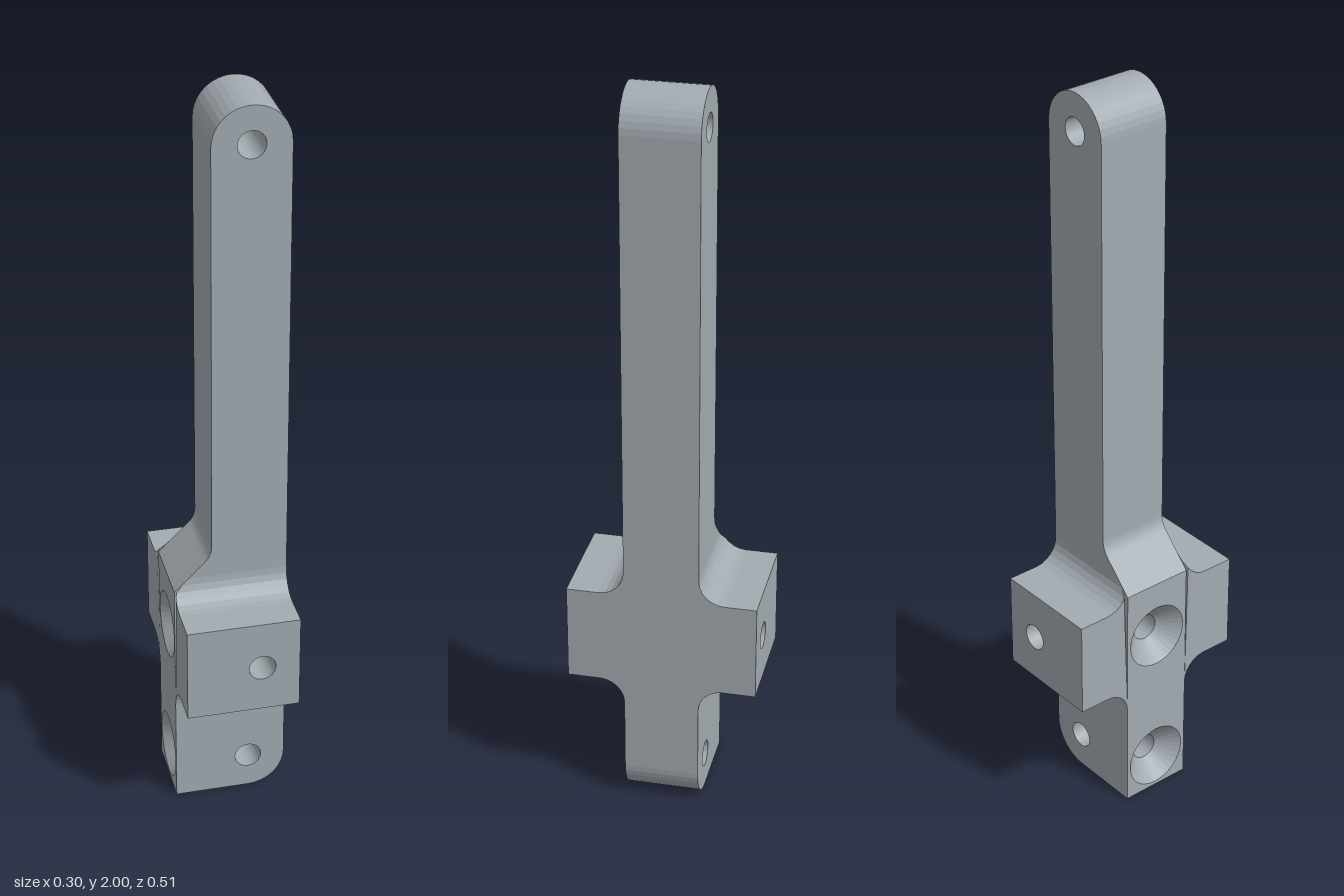
import * as THREE from 'three';
import { mergeGeometries } from 'three/addons/utils/BufferGeometryUtils.js';

const HALF_X = 0.15, WEB_Z = 0.1, LOBE_Z = 0.253, HOLE_R = 0.036;
const v = (x, y) => new THREE.Vector2(x, y);

// Points along an arc, angles in degrees
function arc(cx, cy, r, from, to, n) {
  return Array.from({ length: n + 1 }, (_, i) => {
    const a = THREE.MathUtils.degToRad(from + (to - from) * i / n);
    return v(cx + r * Math.cos(a), cy + r * Math.sin(a));
  });
}

// Wall swept along local z from an open path
function wall(path, half) {
  const pos = [];
  for (let i = 0; i < path.length - 1; i++) {
    const p = path[i], q = path[i + 1];
    const a = [p.x, p.y, -half], b = [q.x, q.y, -half], c = [q.x, q.y, half], d = [p.x, p.y, half];
    pos.push(...a, ...b, ...c, ...a, ...c, ...d);
  }
  const g = new THREE.BufferGeometry();
  g.setAttribute('position', new THREE.Float32BufferAttribute(pos, 3));
  return g;
}

// Flat plate at local z, facing away from the middle, with round holes
function plate(points, z, holes = []) {
  const shape = new THREE.Shape(points);
  for (const [x, y, r] of holes) {
    shape.holes.push(new THREE.Path(arc(x, y, r, 360, 0, 32).slice(0, -1)));
  }
  const g = new THREE.ShapeGeometry(shape).toNonIndexed();
  g.deleteAttribute('uv');
  g.deleteAttribute('normal');
  const p = g.attributes.position;
  if (z < 0) {
    for (let i = 0; i < p.count; i += 3) {
      const x = p.getX(i), y = p.getY(i);
      p.setXY(i, p.getX(i + 1), p.getY(i + 1));
      p.setXY(i + 1, x, y);
    }
  }
  return g.translate(0, 0, z);
}

export function createModel() {
  const group = new THREE.Group();
  const steel = new THREE.MeshStandardMaterial({ color: 0xa3abb1, side: THREE.DoubleSide });
  steel.name = 'blue grey metal';
  const add = (name, geometry) => {
    const g = geometry.index ? geometry.toNonIndexed() : geometry;
    g.computeVertexNormals();
    const mesh = new THREE.Mesh(g, steel);
    mesh.name = name;
    group.add(mesh);
  };

  // Long arm with rounded ends and a sloped shoulder; mounting edge left open
  const bend = new THREE.QuadraticBezierCurve(v(-0.05, 0.79), v(-0.05, 0.765), v(-0.068, 0.747));
  const outline = [
    v(-HALF_X, 0),
    ...arc(0.05, 0.1, 0.1, -90, 0, 9),
    ...arc(0.05, 1.9, 0.1, 0, 180, 18),
    ...bend.getPoints(5),
    v(-HALF_X, 0.665),
  ];
  const pinHoles = [0.1, 0.5, 1.9].map(y => [0.05, y, HOLE_R]);
  add('arm', mergeGeometries([
    wall(outline, WEB_Z),
    plate(outline, WEB_Z, pinHoles),
    plate(outline, -WEB_Z, pinHoles),
  ]));

  // Mounting face with openings for the countersunk screws
  const face = [v(-WEB_Z, 0), v(WEB_Z, 0), v(WEB_Z, 0.665), v(-WEB_Z, 0.665)];
  add('mountingFace', plate(face, HALF_X, [[0, 0.1, 0.09], [0, 0.5, 0.09]]).rotateY(-Math.PI / 2));

  // Side lobes with filleted roots, trimmed to the shoulder slope
  const lower = [...arc(0.167, 0.303, 0.067, 180, 90, 6), v(LOBE_Z, 0.37)];
  const upper = [v(LOBE_Z, 0.635), ...arc(0.167, 0.702, 0.067, -90, -180, 6)];
  const profile = [...lower, ...upper];
  const front = [v(-HALF_X, 0.37), v(HALF_X, 0.37), v(HALF_X, 0.635), v(-HALF_X, 0.635)];
  for (const side of [1, -1]) {
    const body = mergeGeometries([
      wall(lower, HALF_X), wall(upper, HALF_X),
      plate(profile, HALF_X), plate(profile, -HALF_X),
    ]).rotateY(-Math.PI / 2);
    const p = body.attributes.position;
    for (let i = 0; i < p.count; i++) {
      if (p.getX(i) < 0) p.setX(i, Math.max(p.getX(i), p.getY(i) - 0.815));
    }
    if (side < 0) {
      // Mirror across z and restore the corner order
      for (let i = 0; i < p.count; i += 3) {
        const a = new THREE.Vector3().fromBufferAttribute(p, i);
        const b = new THREE.Vector3().fromBufferAttribute(p, i + 1);
        p.setXYZ(i, b.x, b.y, b.z);
        p.setXYZ(i + 1, a.x, a.y, a.z);
      }
      for (let i = 0; i < p.count; i++) p.setZ(i, -p.getZ(i));
    }
    add(side > 0 ? 'frontLobe' : 'backLobe', body);
    add(side > 0 ? 'frontLobeFace' : 'backLobeFace', plate(front, side * LOBE_Z, [[0.05, 0.5, HOLE_R]]));
  }

  // Walls of the cross pin holes
  for (const [x, y, r] of pinHoles) {
    const half = y === 0.5 ? LOBE_Z : WEB_Z;
    add('pinHole', wall(arc(x, y, r, 360, 0, 32), half));
  }

  // Countersunk screw holes running in from the mounting face
  for (const y of [0.1, 0.5]) {
    const bore = new THREE.LatheGeometry([v(0.09, 0), v(0.036, 0.05), v(0.036, 0.17)], 32);
    add('screwHole', bore.rotateZ(-Math.PI / 2).translate(-HALF_X, y, 0));
  }
  return group;
}
